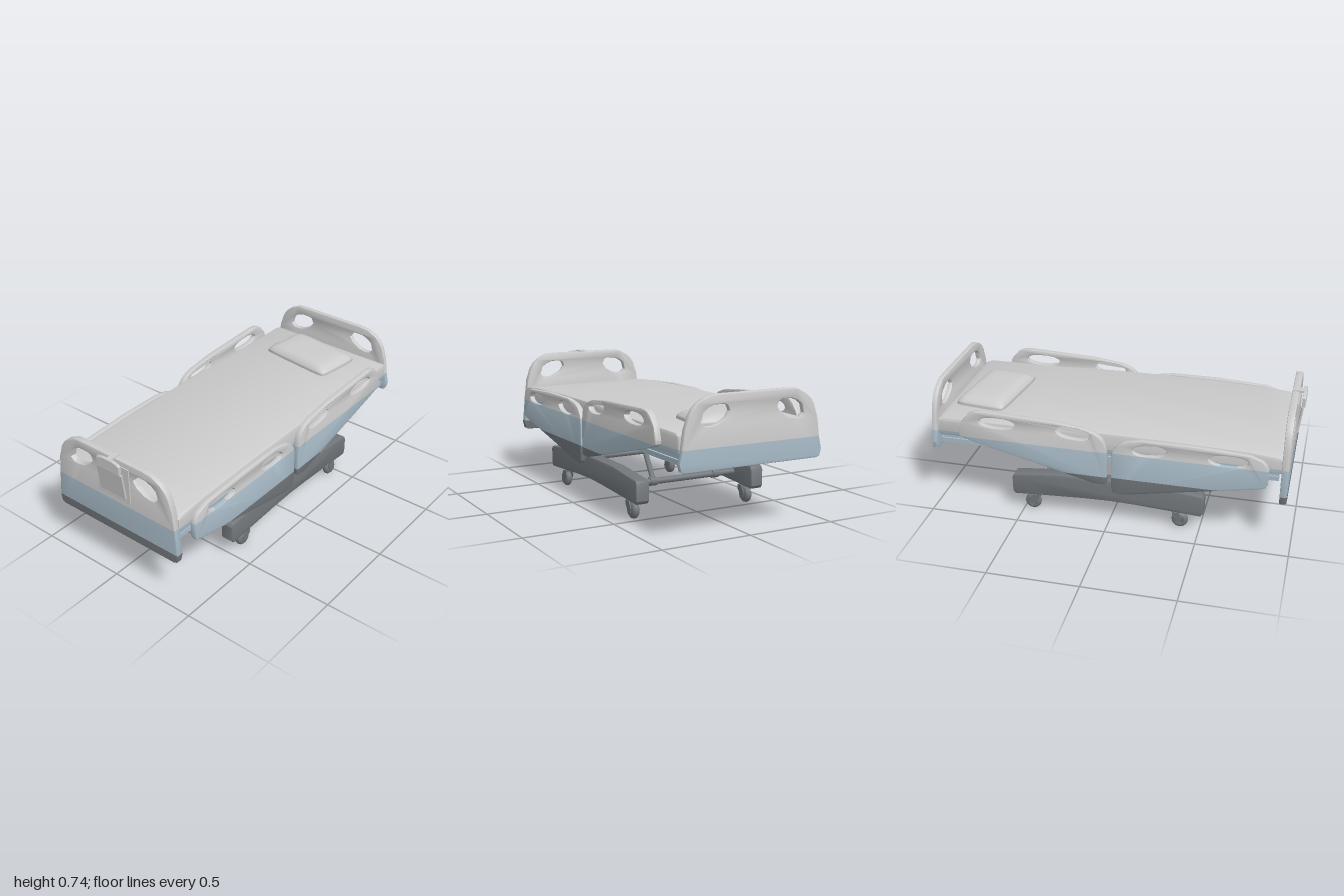
import * as THREE from 'three';
import { toCreasedNormals } from 'three/addons/utils/BufferGeometryUtils.js';

const paint = (color) => new THREE.MeshStandardMaterial({ color });
const GREY = paint(0xcccccc), BLUE = paint(0xa9bcc8), DARK = paint(0x72777b);
// Paint bands by height: dark at the bottom, then blue, then grey
const BANDS = [['Lower', -1, 0.31, DARK], ['Middle', 0.31, 0.46, BLUE], ['Upper', 0.46, 3, GREY]];

function mesh(name, geo, mat, x = 0, y = 0, z = 0) {
  const m = new THREE.Mesh(geo, mat);
  m.name = name;
  m.position.set(x, y, z);
  return m;
}

// Keep the side of a polygon of vertices [x,y,z,nx,ny,nz] where s * (y - h) >= 0
function clip(poly, h, s) {
  const out = [];
  poly.forEach((a, i) => {
    const b = poly[(i + 1) % poly.length];
    const da = s * (a[1] - h), db = s * (b[1] - h);
    if (da >= 0) out.push(a);
    if (da * db < 0) out.push(a.map((v, k) => v + (b[k] - v) * da / (da - db)));
  });
  return out;
}

// Split a geometry into the three paint bands
function banded(name, source) {
  const group = new THREE.Group();
  group.name = name;
  const geo = toCreasedNormals(source, 0.6);
  const p = geo.attributes.position, n = geo.attributes.normal;
  for (const [label, lo, hi, mat] of BANDS) {
    const pos = [], nor = [];
    for (let i = 0; i < p.count; i += 3) {
      const tri = [i, i + 1, i + 2].map((k) =>
        [p.getX(k), p.getY(k), p.getZ(k), n.getX(k), n.getY(k), n.getZ(k)]);
      const poly = clip(clip(tri, lo, 1), hi, -1);
      for (let k = 1; k < poly.length - 1; k++) {
        for (const v of [poly[0], poly[k], poly[k + 1]]) {
          pos.push(v[0], v[1], v[2]);
          nor.push(v[3], v[4], v[5]);
        }
      }
    }
    if (!pos.length) continue;
    const g = new THREE.BufferGeometry();
    g.setAttribute('position', new THREE.Float32BufferAttribute(pos, 3));
    g.setAttribute('normal', new THREE.Float32BufferAttribute(nor, 3));
    group.add(mesh(name + label, g, mat));
  }
  return group;
}

const vec = (pts) => pts.map(([x, y]) => new THREE.Vector2(x, y));

// Bevelled slab, centred in its thickness
function slab(outline, holes, thick, bevel) {
  const shape = new THREE.Shape(vec(outline));
  for (const h of holes) shape.holes.push(new THREE.Path(vec(h)));
  return new THREE.ExtrudeGeometry(shape, {
    depth: thick - 2 * bevel, bevelThickness: bevel, bevelSize: bevel, bevelOffset: -bevel, bevelSegments: 2,
  }).translate(0, 0, bevel - thick / 2);
}
// The same slab with its outline in the (z, y) plane
const sideSlab = (...args) => slab(...args).rotateY(-Math.PI / 2);

// Flattened, slightly tilted hand hole
function handHole(cx, cy, rx, ry, tilt) {
  return Array.from({ length: 14 }, (_, i) => {
    const a = i / 14 * Math.PI * 2;
    const u = Math.sign(Math.cos(a)) * Math.abs(Math.cos(a)) ** 0.8 * rx;
    return [cx + u, cy + Math.sin(a) * ry + u * tilt];
  });
}

function rod(name, a, b, r, sides = 12) {
  const A = new THREE.Vector3(...a), d = new THREE.Vector3(...b).sub(A);
  const m = mesh(name, new THREE.CylinderGeometry(r, r, d.length(), sides), DARK);
  m.position.copy(A).addScaledVector(d, 0.5);
  m.quaternion.setFromUnitVectors(new THREE.Vector3(0, 1, 0), d.normalize());
  return m;
}

// End board with two hand holes
function endBoard(name, bottom, top, thick, z) {
  const half = [[0.39, bottom], [0.407, bottom + 0.008], [0.416, bottom + 0.045], [0.401, 0.457], [0.388, top - 0.163],
    [0.365, top - 0.092], [0.345, top - 0.06], [0.318, top - 0.035], [0.26, top - 0.005], [0.2, top]];
  const outline = [...half, ...half.map(([x, y]) => [-x, y]).reverse()];
  const hole = [[0.299, -0.13], [0.287, -0.085], [0.262, -0.065], [0.223, -0.05], [0.17, -0.05], [0.151, -0.057],
    [0.139, -0.085], [0.16, -0.117], [0.21, -0.145], [0.25, -0.152], [0.276, -0.15]];
  const holes = [1, -1].map((s) => hole.map(([x, y]) => [s * x, top + y]));
  return banded(name, slab(outline, holes, thick, 0.006).translate(-0.009, 0, z));
}

function caster(x, z, trail) {
  const g = new THREE.Group();
  g.name = 'caster';
  g.position.set(x, 0, z);
  const profile = vec([[0.012, -0.02], [0.032, -0.02], [0.043, -0.011], [0.046, 0], [0.043, 0.011], [0.032, 0.02], [0.012, 0.02], [0.012, -0.02]]);
  g.add(mesh('wheel', new THREE.LatheGeometry(profile, 20).rotateZ(Math.PI / 2), DARK, 0, 0.046, 0));
  g.add(rod('axle', [-0.025, 0.046, 0], [0.025, 0.046, 0], 0.013));
  g.add(rod('stem', [0, 0.09, trail], [0, 0.12, trail], 0.018));
  const fork = [[-0.012, 0.035], [0.012, 0.035], [0.04, 0.07], [0.04, 0.096], [0.005, 0.096], [-0.015, 0.06]]
    .map(([u, y]) => [u * Math.sign(trail), y]);
  for (const s of [-1, 1]) g.add(mesh('fork', sideSlab(fork, [], 0.006, 0.001), DARK, s * 0.022, 0, 0));
  g.add(mesh('forkCrown', new THREE.BoxGeometry(0.046, 0.008, 0.034), DARK, 0, 0.093, trail * 0.7));
  return g;
}

export function createModel() {
  const bed = new THREE.Group();
  bed.name = 'hospitalBed';

  // End boards
  bed.add(endBoard('footBoard', 0.256, 0.73, 0.038, 0.942));
  bed.add(endBoard('headBoard', 0.35, 0.716, 0.03, -0.985));

  // Chart holder on the foot board
  bed.add(mesh('chartPlate', new THREE.BoxGeometry(0.214, 0.211, 0.008), GREY, 0, 0.594, 0.963));
  const chart = mesh('chartBoard', new THREE.BoxGeometry(0.17, 0.15, 0.01), GREY, 0, 0.594, 0.98);
  chart.rotation.x = 0.12;
  bed.add(chart);
  const clipShape = [[-0.077, 0.668], [0.077, 0.668], [0.077, 0.72], [0.066, 0.728], [0.035, 0.735],
    [-0.035, 0.735], [-0.066, 0.728], [-0.077, 0.72]];
  bed.add(mesh('chartClip', slab(clipShape, [], 0.018, 0.003), GREY, 0, 0, 0.991));
  bed.add(mesh('chartHook', new THREE.BoxGeometry(0.03, 0.012, 0.06), GREY, 0, 0.729, 0.955));

  // Mattress with a gently arched top
  const mattress = [[0.925, 0.43], [0.932, 0.445], [0.932, 0.515], [0.91, 0.53], [0.75, 0.543], [0.4, 0.554], [0, 0.557],
    [-0.3, 0.552], [-0.5, 0.543], [-0.93, 0.54], [-0.965, 0.525], [-0.968, 0.445], [-0.96, 0.43]];
  bed.add(banded('mattress', sideSlab(mattress, [], 0.797, 0.015).translate(-0.002, 0, 0)));

  // Pillow, thinning towards its rim
  const pg = new THREE.BoxGeometry(0.465, 0.1, 0.295, 16, 4, 12);
  const p = pg.attributes.position;
  for (let i = 0; i < p.count; i++) {
    const u = Math.min(1, Math.abs(p.getX(i)) / 0.2325), v = Math.min(1, Math.abs(p.getZ(i)) / 0.1475);
    const y = p.getY(i);
    const inset = 1 - 0.03 * (y / 0.05) ** 2 - 0.05 * (u * v) ** 6;
    p.setXYZ(i, p.getX(i) * inset, y * (0.35 + 0.65 * Math.sqrt((1 - u ** 4) * (1 - v ** 4))), p.getZ(i) * inset);
  }
  const pillow = mesh('pillow', toCreasedNormals(pg, 1.2), GREY, -0.016, 0.543, -0.755);
  pillow.rotation.y = -0.12;
  bed.add(pillow);

  // Deck and frame under the mattress
  bed.add(mesh('deck', new THREE.BoxGeometry(0.76, 0.022, 1.86), BLUE, 0, 0.422, -0.02));
  bed.add(mesh('deckPan', new THREE.BoxGeometry(0.72, 0.022, 1.86), BLUE, 0, 0.392, -0.025));
  for (const s of [-1, 1]) bed.add(mesh('deckRail', new THREE.BoxGeometry(0.03, 0.025, 1.87), BLUE, s * 0.365, 0.393, -0.025));

  // Side rails
  const footRail = [[0.858, 0.375], [0.86, 0.46], [0.848, 0.49], [0.826, 0.512], [0.757, 0.537], [0.46, 0.553], [0.195, 0.553],
    [0.1, 0.537], [0.06, 0.515], [0.035, 0.48], [0.024, 0.446], [0.022, 0.25], [0.03, 0.22], [0.05, 0.208], [0.1, 0.211],
    [0.46, 0.28], [0.826, 0.348], [0.848, 0.358]];
  const headRail = [[0, 0.46], [-0.01, 0.51], [-0.03, 0.543], [-0.065, 0.567], [-0.115, 0.585], [-0.286, 0.607], [-0.687, 0.624],
    [-0.735, 0.618], [-0.77, 0.6], [-0.81, 0.553], [-0.83, 0.484], [-0.826, 0.465], [-0.81, 0.452], [-0.714, 0.425],
    [-0.072, 0.265], [-0.02, 0.262], [-0.004, 0.272], [0, 0.297]];
  const footHoles = [handHole(0.65, 0.49, 0.105, 0.033, 0), handHole(0.233, 0.496, 0.093, 0.033, 0.08)];
  const headHoles = [handHole(-0.184, 0.553, 0.093, 0.033, -0.08), handHole(-0.607, 0.563, 0.103, 0.031, 0)];
  for (const s of [-1, 1]) {
    const side = s > 0 ? 'left' : 'right';
    bed.add(banded(side + 'FootRail', sideSlab(footRail, footHoles, 0.032, 0.007).translate(s * 0.42, 0, 0)));
    bed.add(banded(side + 'HeadRail', sideSlab(headRail, headHoles, 0.036, 0.007).translate(s * 0.423, 0, 0)));
    for (const z of [0.6, 0.25, -0.2, -0.55]) {
      bed.add(mesh('railBracket', new THREE.BoxGeometry(0.06, 0.025, 0.05), BLUE, s * 0.385, 0.42, z));
    }
  }

  // Wheeled base
  const base = new THREE.Group();
  base.name = 'base';
  base.position.x = 0.0075;
  const beam = [[0.522, 0.115], [0.522, 0.205], [0.512, 0.219], [0.49, 0.225], [0.25, 0.246], [0, 0.252], [-0.286, 0.249],
    [-0.52, 0.227], [-0.548, 0.221], [-0.558, 0.2], [-0.558, 0.115], [-0.545, 0.098], [-0.4, 0.107], [-0.15, 0.12],
    [0, 0.124], [0.14, 0.12], [0.36, 0.107], [0.508, 0.098]];
  for (const s of [-1, 1]) {
    base.add(mesh('baseBeam', toCreasedNormals(sideSlab(beam, [], 0.075, 0.007), 0.6), DARK, s * 0.353, 0, 0));
    base.add(caster(s * 0.352, 0.39, -0.03), caster(s * 0.352, -0.45, 0.03));
  }
  // Cross bars with collars and inclined struts up to the deck
  for (const e of [-1, 1]) {
    const z = e * 0.36 - 0.015;
    base.add(rod('crossBar', [-0.33, 0.165, z], [0.33, 0.165, z], 0.018));
    for (const s of [-1, 1]) {
      base.add(rod('collar', [s * 0.175, 0.165, z], [s * 0.215, 0.165, z], 0.024, 8));
      base.add(rod('strut', [s * 0.19, 0.165, z], [s * 0.125, 0.39, z - e * 0.28], 0.014));
    }
  }
  bed.add(base);
  return bed;
}
